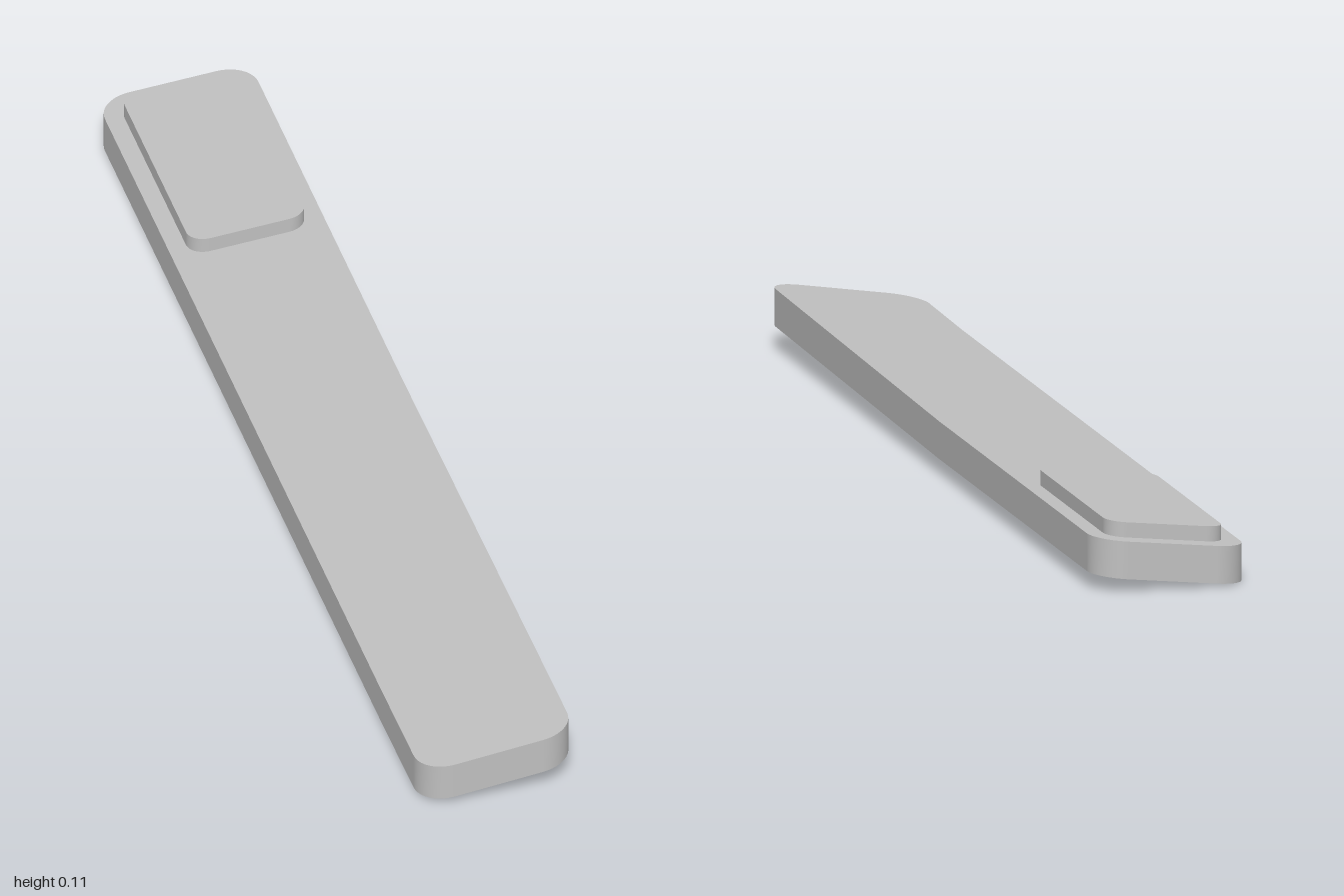
import * as THREE from 'three';

const EPS = 1e-6;

// Signed distance along z from the diagonal fold across the bar
const fold = ([x, z]) => z - 0.35 + 3.1 * x;

// Height of the underside: a sideways tilt, lifted slightly in front of the fold
const base = (p) => 0.0135 + 0.104 * p[0] + 0.0138 * Math.max(0, fold(p));

// Rounded rectangle in plan, with extra points where the fold crosses it
function outline(halfWidth, z0, z1, r, steps = 10) {
  const corners = [
    [halfWidth - r, z1 - r], [-halfWidth + r, z1 - r],
    [-halfWidth + r, z0 + r], [halfWidth - r, z0 + r],
  ];
  const pts = [];
  corners.forEach(([cx, cz], c) => {
    for (let i = 0; i <= steps; i++) {
      const a = (c + i / steps) * Math.PI / 2;
      pts.push([cx + r * Math.cos(a), cz + r * Math.sin(a)]);
    }
  });
  const ring = [];
  pts.forEach((p, i) => {
    const q = pts[(i + 1) % pts.length];
    const fp = fold(p), fq = fold(q);
    ring.push(p);
    if (fp * fq < 0) {
      const t = fp / (fp - fq);
      ring.push([p[0] + (q[0] - p[0]) * t, p[1] + (q[1] - p[1]) * t]);
    }
  });
  return ring;
}

// Upright slab that follows the tilted base, between two heights above it
function slab(ring, low, high) {
  const pos = [], idx = [];
  const add = (p, h) => pos.push(p[0], base(p) + h, p[1]) / 3 - 1;

  // Smooth side wall
  ring.forEach((p) => { add(p, low); add(p, high); });
  const n = ring.length;
  for (let i = 0; i < n; i++) {
    const a = 2 * i, b = 2 * ((i + 1) % n);
    idx.push(a, a + 1, b, b, a + 1, b + 1);
  }

  // Flat caps, one fan on each side of the fold
  const halves = [ring.filter((p) => fold(p) >= -EPS), ring.filter((p) => fold(p) <= EPS)];
  for (const half of halves) {
    if (half.length < 3) continue;
    for (const h of [low, high]) {
      const ids = half.map((p) => add(p, h));
      for (let i = 1; i < ids.length - 1; i++) {
        if (h === low) idx.push(ids[0], ids[i], ids[i + 1]);
        else idx.push(ids[0], ids[i + 1], ids[i]);
      }
    }
  }
  const geo = new THREE.BufferGeometry();
  geo.setAttribute('position', new THREE.Float32BufferAttribute(pos, 3));
  geo.setIndex(idx);
  geo.computeVertexNormals();
  return geo;
}

export function createModel() {
  const group = new THREE.Group();
  group.name = 'bar';
  const grey = new THREE.MeshStandardMaterial({ color: 0xc0c0c0 });
  grey.name = 'light grey';

  const addPart = (name, geo) => {
    const mesh = new THREE.Mesh(geo, grey);
    mesh.name = name;
    group.add(mesh);
  };

  // Long body and the raised pad near its back end
  addPart('body', slab(outline(0.128, -1, 1, 0.055), 0, 0.062));
  addPart('pad', slab(outline(0.098, -0.965, -0.527, 0.032), 0.062, 0.087));
  return group;
}
